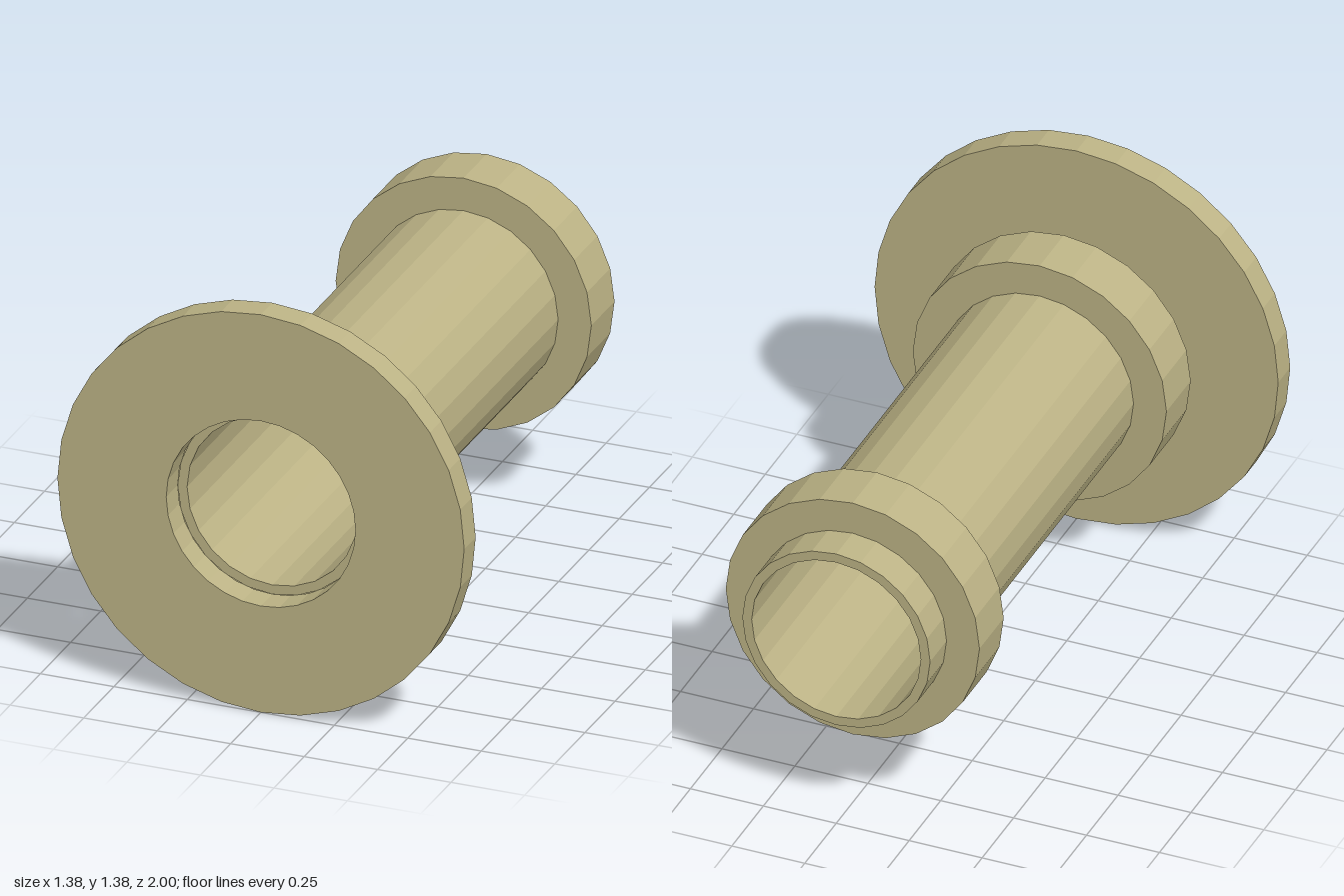
import * as THREE from 'three';

const AXIS_Y = 0.692;

// Faceted ring around the z axis, closed on all sides
function ring(name, outer, inner, zBack, zFront, sides, material) {
  const profile = [
    [outer, zBack], [outer, zFront], [inner, zFront], [inner, zBack], [outer, zBack],
  ].map(([r, z]) => new THREE.Vector2(r, z));
  const geometry = new THREE.LatheGeometry(profile, sides).rotateX(Math.PI / 2).toNonIndexed();
  geometry.computeVertexNormals(); // one normal per facet
  const mesh = new THREE.Mesh(geometry, material);
  mesh.name = name;
  mesh.position.y = AXIS_Y;
  return mesh;
}

export function createModel() {
  const group = new THREE.Group();
  group.name = 'flangedPipe';
  const khaki = new THREE.MeshStandardMaterial({ color: 0xbdb486 });
  khaki.name = 'khaki';

  group.add(
    // Long pipe, ending at the back of the flange
    ring('pipe', 0.322, 0.29, -1, 0.905, 24, khaki),
    // Wide end plate with a bore as large as the pipe's outside
    ring('flange', 0.692, 0.322, 0.905, 1, 32, khaki),
    // Two raised collars
    ring('frontCollar', 0.435, 0.315, 0.613, 0.805, 24, khaki),
    ring('backCollar', 0.435, 0.315, -0.87, -0.678, 24, khaki),
  );
  return group;
}
